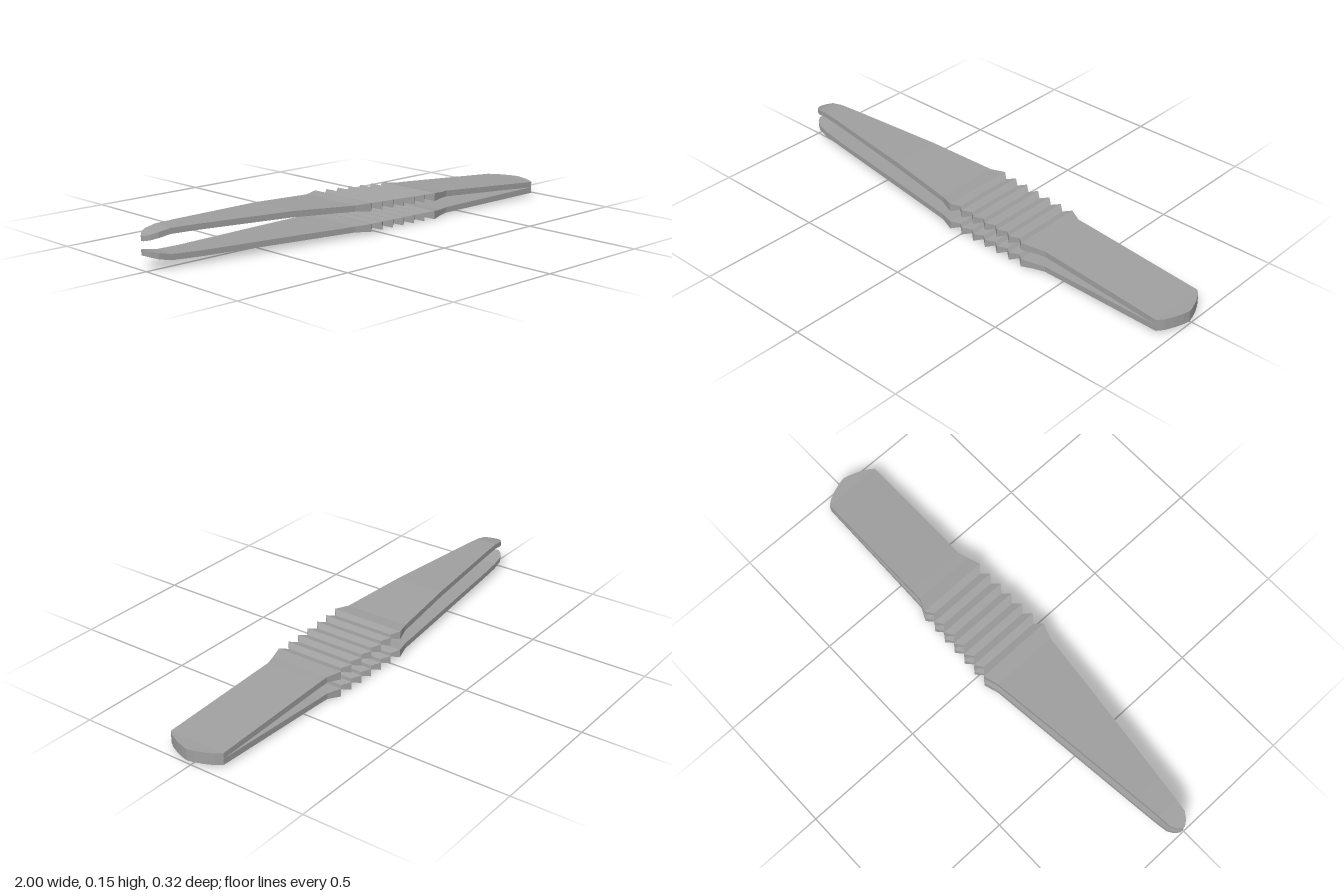
import * as THREE from 'three';

// Loft of rectangular cross-sections; each is [x, zBack, zFront, yLow, yHigh]
function loft(sections) {
  const rings = sections.map(([x, zb, zf, y0, y1]) =>
    [[x, y0, zb], [x, y0, zf], [x, y1, zf], [x, y1, zb]]);
  const pos = [];
  const quad = (a, b, c, d) => pos.push(...a, ...b, ...c, ...a, ...c, ...d);
  for (let i = 0; i < rings.length - 1; i++) {
    const p = rings[i], q = rings[i + 1];
    for (let k = 0; k < 4; k++) {
      const n = (k + 1) % 4;
      quad(p[k], q[k], q[n], p[n]);
    }
  }
  quad(...rings[0]);
  quad(...[...rings[rings.length - 1]].reverse());
  const geometry = new THREE.BufferGeometry();
  geometry.setAttribute('position', new THREE.Float32BufferAttribute(pos, 3));
  geometry.computeVertexNormals();
  return geometry;
}

// Linear interpolation in a short table of [x, value, value]
function sample(table, x) {
  let i = 0;
  while (i < table.length - 2 && x > table[i + 1][0]) i++;
  const a = table[i], b = table[i + 1];
  const t = (x - a[0]) / (b[0] - a[0]);
  return [1, 2].map((k) => a[k] + (b[k] - a[k]) * t);
}

// Plan outline: x, back edge, front edge
const outline = [[-1, -0.026, -0.012], [-0.985, -0.045, 0.008], [-0.96, -0.058, 0.024],
  [-0.11, -0.142, 0.138]];
// Sawtooth grip: seven peaks with valleys between
for (let i = 0; i < 7; i++) {
  const x = -0.048 + i * 0.0608;
  outline.push([x, -0.16 + i * 0.0025, 0.161 - i * 0.001]);
  if (i < 6) outline.push([x + 0.03, -0.134 + i * 0.0025, 0.134 - i * 0.001]);
}
outline.push([0.37, -0.12, 0.14], [0.415, -0.119, 0.128], [0.945, -0.106, 0.141]);

// Side profiles: x, low, high
const upper = [[-1, 0.109, 0.128], [-0.96, 0.12, 0.142], [-0.91, 0.128, 0.15],
  [-0.8, 0.127, 0.149], [-0.4, 0.116, 0.14], [-0.11, 0.098, 0.122],
  [-0.048, 0.096, 0.122], [0.317, 0.08, 0.105], [0.415, 0.076, 0.1], [0.945, 0.038, 0.061]];
const lower = [[-1, 0.056, 0.076], [-0.96, 0.043, 0.065], [-0.91, 0.032, 0.055],
  [-0.8, 0.028, 0.05], [-0.4, 0.021, 0.044], [-0.11, 0.016, 0.039],
  [-0.048, 0.015, 0.039], [0.317, 0.005, 0.031], [0.415, 0.008, 0.031], [0.945, 0.013, 0.038]];

// Arm sections, with the grip swelling at peaks and thinning in valleys
function armSections(profile) {
  const xs = [...new Set([...outline, ...profile].map((p) => p[0]))].sort((a, b) => a - b);
  return xs.map((x) => {
    const [zb, zf] = sample(outline, x);
    const [y0, y1] = sample(profile, x);
    const phase = (x + 0.048) / 0.0608;
    const inGrip = phase > -0.1 && phase < 6.1;
    const swell = inGrip ? 0.004 * Math.cos(phase * Math.PI * 2) : 0;
    return [x, zb, zf, Math.max(0, y0 - swell), y1 + swell];
  });
}

export function createModel() {
  const group = new THREE.Group();
  const material = new THREE.MeshStandardMaterial({ color: 0xa0a0a0, flatShading: true });
  const add = (name, sections) => {
    const mesh = new THREE.Mesh(loft(sections), material);
    mesh.name = name;
    group.add(mesh);
  };
  add('upperArm', armSections(upper));
  add('lowerArm', armSections(lower));
  // Rounded block joining the two arms
  add('endJoint', [[0.945, -0.106, 0.141], [0.965, -0.082, 0.115], [0.982, -0.046, 0.078],
    [0.994, -0.012, 0.044], [1, 0.013, 0.019]].map(([x, zb, zf]) => [x, zb, zf, 0.013, 0.061]));
  return group;
}
